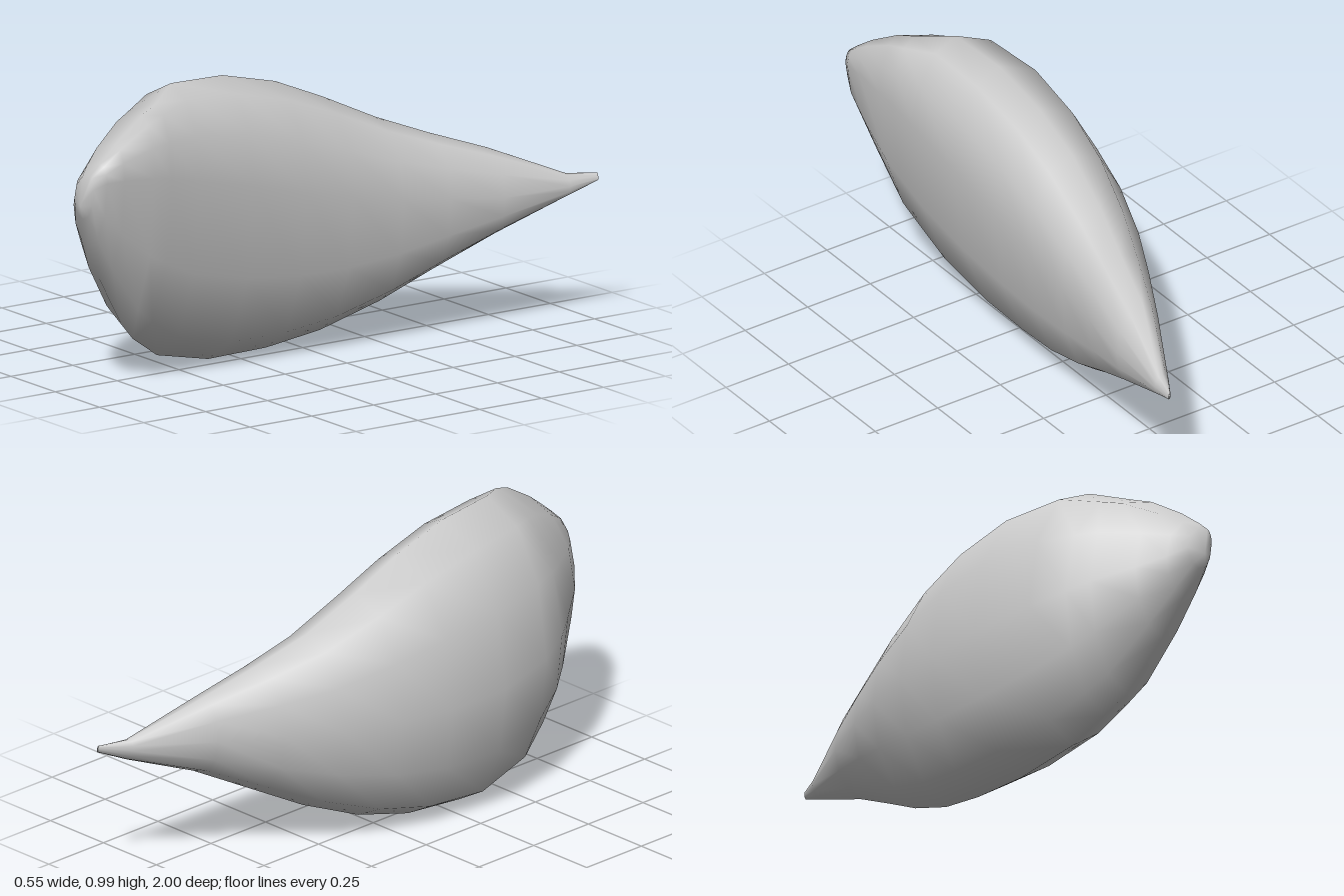
import * as THREE from 'three';
import { mergeVertices } from 'three/addons/utils/BufferGeometryUtils.js';

// Cross-sections from blunt nose to tail tip. Each gives its z and four extremes:
// left side (x, y), right side (x, y), top (x, y), bottom (x, y).
const SECTIONS = [
  [1.0, 0.14, 0.66, 0.14, 0.66, 0.14, 0.66, 0.14, 0.66],
  [0.98, 0.08, 0.67, 0.19, 0.72, 0.17, 0.765, 0.13, 0.61],
  [0.94, 0.02, 0.63, 0.21, 0.74, 0.17, 0.80, 0.1, 0.51],
  [0.87, -0.055, 0.59, 0.212, 0.74, 0.16, 0.855, 0.07, 0.375],
  [0.75, -0.145, 0.55, 0.212, 0.73, 0.14, 0.93, 0.025, 0.195],
  [0.68, -0.19, 0.52, 0.21, 0.72, 0.12, 0.955, -0.01, 0.13],
  [0.56, -0.24, 0.49, 0.205, 0.69, 0.04, 0.99, -0.04, 0.05],
  [0.34, -0.275, 0.46, 0.2, 0.64, 0.02, 0.98, -0.06, 0.0],
  [0.12, -0.255, 0.45, 0.19, 0.58, 0.01, 0.925, -0.04, 0.01],
  [-0.07, -0.212, 0.45, 0.19, 0.54, 0.01, 0.845, 0.0, 0.05],
  [-0.27, -0.14, 0.45, 0.195, 0.50, 0.035, 0.75, 0.055, 0.13],
  [-0.45, -0.05, 0.46, 0.21, 0.48, 0.08, 0.68, 0.11, 0.225],
  [-0.65, 0.06, 0.47, 0.235, 0.46, 0.13, 0.61, 0.18, 0.33],
  [-0.9, 0.2, 0.47, 0.255, 0.465, 0.225, 0.505, 0.235, 0.43],
  [-1.0, 0.262, 0.488, 0.272, 0.48, 0.265, 0.5, 0.269, 0.475],
  [-1.0, 0.267, 0.488, 0.267, 0.488, 0.267, 0.488, 0.267, 0.488],
];
const SIDES = 12;

// Each section is four quarter-ellipses joining its extremes.
function sectionPoint([z, lx, ly, rx, ry, tx, ty, bx, by], j) {
  const a = (j / SIDES) * Math.PI * 2;
  const c = Math.cos(a), s = Math.sin(a);
  const [sx, sy] = c >= 0 ? [rx, ry] : [lx, ly];
  const [ex, ey] = s >= 0 ? [tx, ty] : [bx, by];
  return [ex + (sx - ex) * Math.abs(c), sy + (ey - sy) * Math.abs(s), z];
}

function loft() {
  const positions = [], index = [];
  SECTIONS.forEach((section, i) => {
    for (let j = 0; j < SIDES; j++) {
      positions.push(...sectionPoint(section, j));
      if (i === SECTIONS.length - 1) continue;
      const k = (j + 1) % SIDES;
      const a = i * SIDES + j, b = i * SIDES + k;
      const c = a + SIDES, d = b + SIDES;
      // The pole rings at both ends need one triangle per side only.
      if (i > 0) index.push(a, c, b);
      else index.push(a, c, d);
      if (i > 0 && i < SECTIONS.length - 2) index.push(b, c, d);
    }
  });
  const geometry = new THREE.BufferGeometry();
  geometry.setAttribute('position', new THREE.Float32BufferAttribute(positions, 3));
  geometry.setIndex(index);
  const welded = mergeVertices(geometry, 1e-4);
  welded.computeVertexNormals();
  return welded;
}

export function createModel() {
  const group = new THREE.Group();
  group.name = 'teardropShell';
  const body = new THREE.Mesh(loft(), new THREE.MeshStandardMaterial({ color: 0xcccccc }));
  body.name = 'body';
  group.add(body);
  return group;
}
